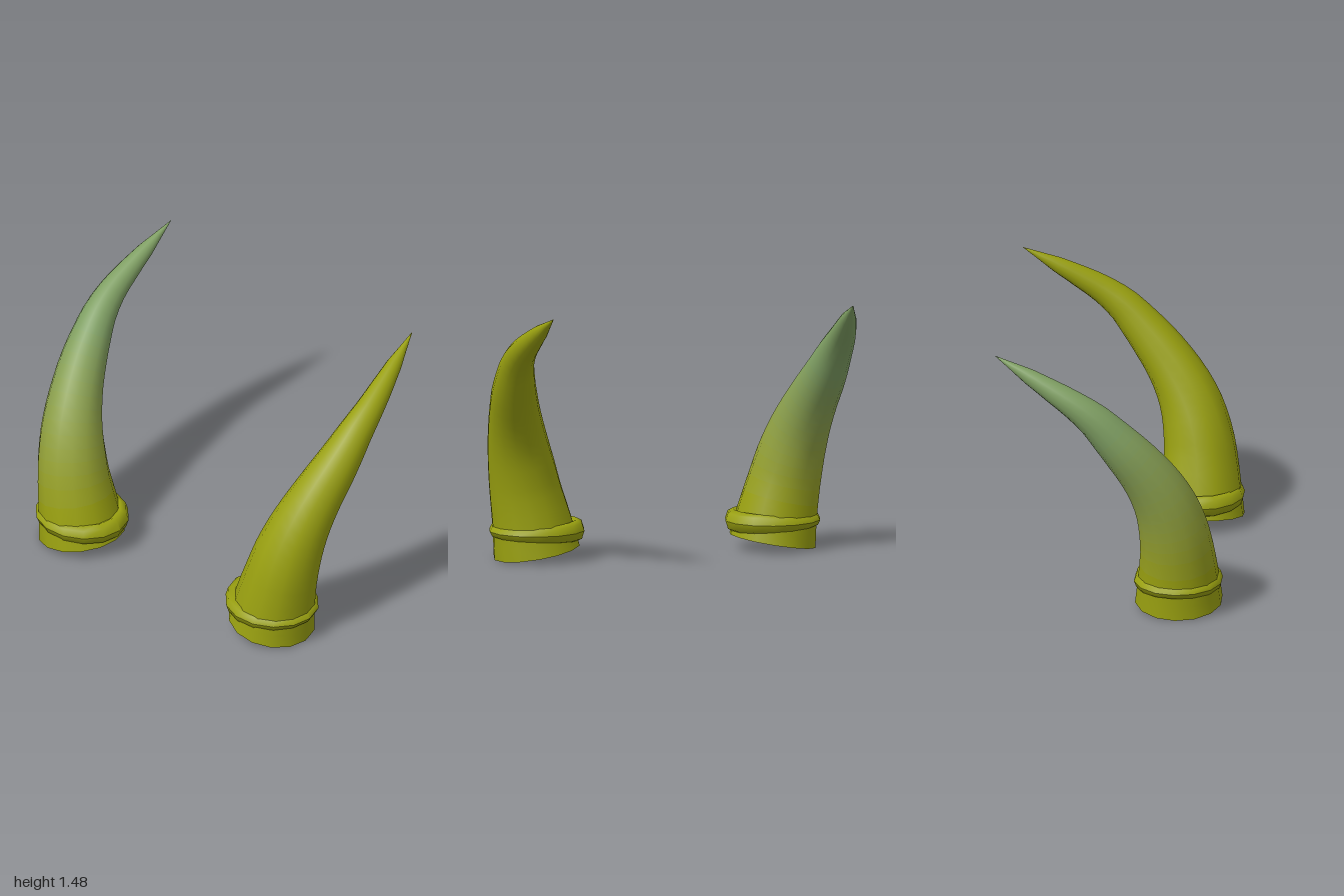
import * as THREE from 'three';

const SIDES = 14;
// Horn spine, base to tip: x, y, z, radius
const SPINE = [
  [0.665, 0.055, 0.37, 0.24], [0.69, 0.2, 0.37, 0.222], [0.73, 0.385, 0.363, 0.2],
  [0.757, 0.515, 0.343, 0.187], [0.785, 0.635, 0.31, 0.172], [0.813, 0.75, 0.258, 0.156],
  [0.842, 0.865, 0.185, 0.14], [0.868, 0.973, 0.1, 0.126], [0.885, 1.065, 0.02, 0.111],
  [0.897, 1.157, -0.065, 0.095], [0.9, 1.243, -0.175, 0.078], [0.888, 1.32, -0.3, 0.062],
  [0.87, 1.395, -0.43, 0.043], [0.845, 1.497, -0.615, 0.001],
];
const OLIVE = new THREE.Color(0x99a010);
const GREEN = new THREE.Color(0x7f9f63);
const STEPS = (SPINE.length - 1) * 2;

const paint = (color) => new THREE.MeshStandardMaterial({ color });

// Circles swept along the spine; each band of the sweep is its own material group
function hornGeometry(side) {
  const curve = new THREE.CatmullRomCurve3(SPINE.map(([x, y, z]) => new THREE.Vector3(side * x, y, z)));
  const positions = [], index = [];
  for (let i = 0; i <= STEPS; i++) {
    const p = curve.getPoint(i / STEPS);
    const t = curve.getTangent(i / STEPS);
    const u = new THREE.Vector3(1, 0, 0).addScaledVector(t, -t.x).normalize();
    const v = new THREE.Vector3().crossVectors(t, u);
    const k = Math.floor(i / 2);
    const r = i % 2 ? (SPINE[k][3] + SPINE[k + 1][3]) / 2 : SPINE[k][3];
    for (let j = 0; j < SIDES; j++) {
      const a = (j / SIDES) * Math.PI * 2;
      const q = p.clone().addScaledVector(u, r * Math.cos(a)).addScaledVector(v, r * Math.sin(a));
      positions.push(q.x, q.y, q.z);
    }
  }
  const geometry = new THREE.BufferGeometry();
  for (let i = 0; i < STEPS; i++) {
    for (let j = 0; j < SIDES; j++) {
      const a = i * SIDES + j, b = i * SIDES + (j + 1) % SIDES;
      index.push(a, b, a + SIDES, b, b + SIDES, a + SIDES);
    }
    geometry.addGroup(i * SIDES * 6, SIDES * 6, i);
  }
  geometry.setAttribute('position', new THREE.Float32BufferAttribute(positions, 3));
  geometry.setIndex(index);
  geometry.computeVertexNormals();
  return geometry;
}

// Flat underside using the first circle of the horn
function capGeometry(horn) {
  const geometry = new THREE.BufferGeometry();
  const ring = Array.from(horn.attributes.position.array.slice(0, SIDES * 3));
  const index = [];
  for (let j = 1; j < SIDES - 1; j++) index.push(0, j + 1, j);
  geometry.setAttribute('position', new THREE.Float32BufferAttribute(ring, 3));
  geometry.setIndex(index);
  geometry.computeVertexNormals();
  return geometry;
}

// Rounded collar, thicker toward the middle of the model
function collarGeometry(side) {
  const geometry = new THREE.TorusGeometry(0.21, 0.045, 8, SIDES);
  geometry.rotateX(-Math.PI / 2);
  geometry.scale(1.04, 1, 0.955);
  const pos = geometry.attributes.position;
  for (let i = 0; i < pos.count; i++) {
    pos.setY(i, pos.getY(i) * (1.1 - 0.3 * side * pos.getX(i) / 0.265));
  }
  geometry.computeVertexNormals();
  geometry.translate(side * 0.665, 0.172, 0.368);
  return geometry;
}

function buildHorn(side, tipColor) {
  const group = new THREE.Group();
  group.name = side > 0 ? 'leftHorn' : 'rightHorn';
  const geometry = hornGeometry(side);
  // Colour blends from the base up to the tip
  const bands = Array.from({ length: STEPS }, (_, i) =>
    paint(OLIVE.clone().lerp(tipColor, THREE.MathUtils.clamp((i - 2) / 14, 0, 1))));
  const add = (name, geo, material) => {
    const mesh = new THREE.Mesh(geo, material);
    mesh.name = name;
    group.add(mesh);
  };
  add('hornBody', geometry, bands);
  add('hornBase', capGeometry(geometry), paint(OLIVE));
  add('hornCollar', collarGeometry(side), paint(OLIVE));
  return group;
}

export function createModel() {
  const model = new THREE.Group();
  model.name = 'hornPair';
  model.add(buildHorn(1, OLIVE), buildHorn(-1, GREEN));
  return model;
}
